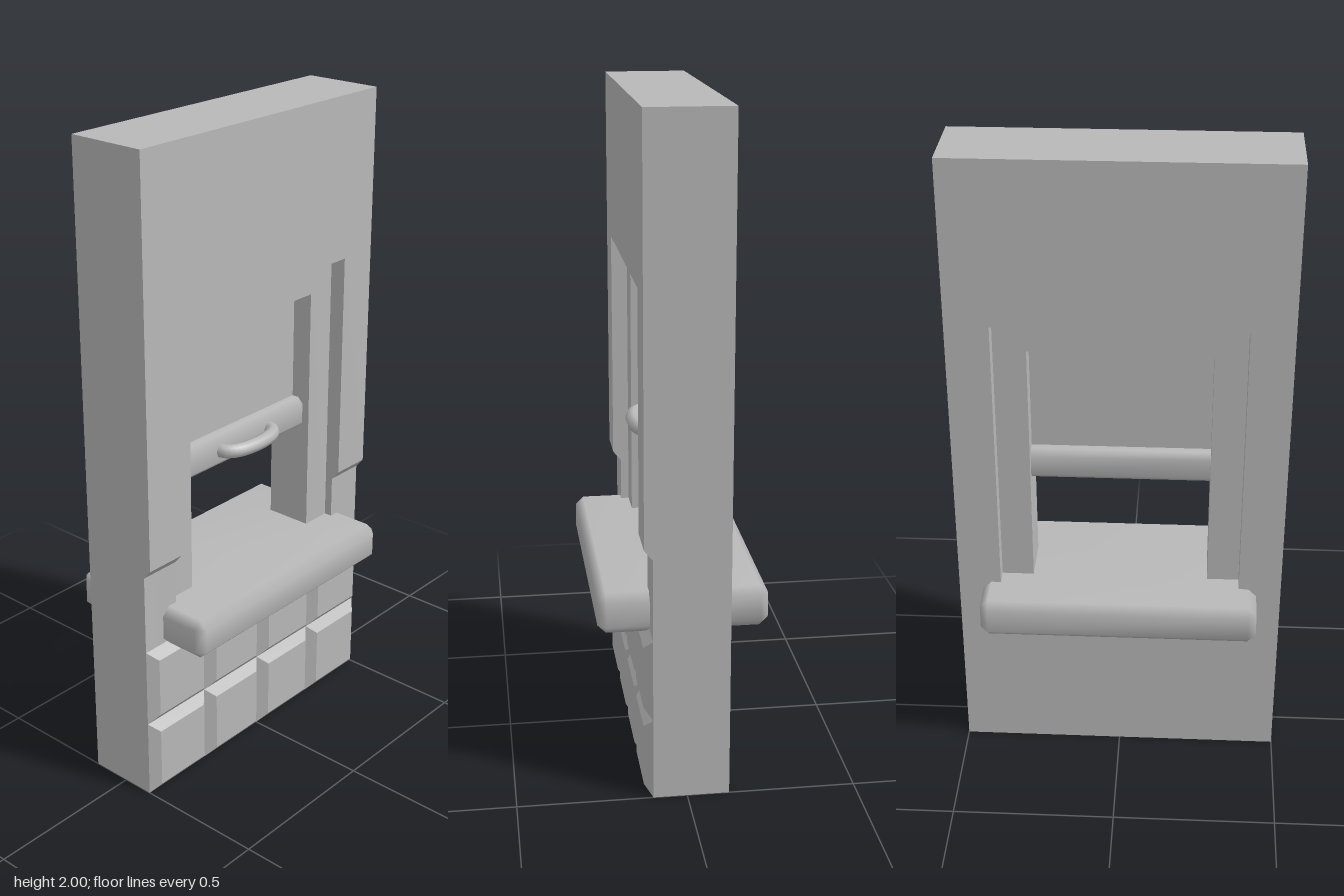
import * as THREE from 'three';
import { mergeVertices } from 'three/addons/utils/BufferGeometryUtils.js';
import { ConvexGeometry } from 'three/addons/geometries/ConvexGeometry.js';

const plaster = new THREE.MeshStandardMaterial({ color: 0xb8b8b8 });
plaster.name = 'plain grey';

function add(parent, name, geometry, x = 0, y = 0, z = 0) {
  const mesh = new THREE.Mesh(geometry, plaster);
  mesh.name = name;
  mesh.position.set(x, y, z);
  parent.add(mesh);
  return mesh;
}

function polygon(points) {
  return new THREE.Shape(points.map(([x, y]) => new THREE.Vector2(x, y)));
}

function rectangle(x, y0, y1) {
  return polygon([[-x, y0], [x, y0], [x, y1], [-x, y1]]);
}

// Upside-down U: outer half width and top, inner half width and top
function arch(outerX, outerTop, innerX, innerTop, bottom) {
  return polygon([
    [-outerX, bottom], [-innerX, bottom], [-innerX, innerTop], [innerX, innerTop],
    [innerX, bottom], [outerX, bottom], [outerX, outerTop], [-outerX, outerTop],
  ]);
}

function slab(shape, z0, z1) {
  return new THREE.ExtrudeGeometry(shape, { depth: z1 - z0, bevelEnabled: false }).translate(0, 0, z0);
}

// Box with chamfered edges and corners, shaded smoothly across the chamfers
function softBox(w, h, d, bevel) {
  const points = [];
  for (const sx of [-1, 1]) for (const sy of [-1, 1]) for (const sz of [-1, 1]) {
    for (let axis = 0; axis < 3; axis++) {
      const half = [w / 2, h / 2, d / 2].map((v, i) => (i === axis ? v : v - bevel));
      points.push(new THREE.Vector3(sx * half[0], sy * half[1], sz * half[2]));
    }
  }
  const geometry = new ConvexGeometry(points);
  geometry.deleteAttribute('normal');
  const smooth = mergeVertices(geometry, 1e-4);
  smooth.computeVertexNormals();
  return smooth;
}

// Square stone with sloping edges on its front
function stoneGeometry(size, depth, slope) {
  const points = [];
  for (const sx of [-1, 1]) for (const sy of [-1, 1]) {
    const a = size / 2, b = size / 2 - slope;
    points.push(new THREE.Vector3(sx * a, sy * a, 0), new THREE.Vector3(sx * b, sy * b, depth));
  }
  return new ConvexGeometry(points);
}

export function createModel() {
  const model = new THREE.Group();
  model.name = 'wallWithWindow';

  // Wall with a through opening
  const wallShape = rectangle(0.5, 0, 2);
  wallShape.holes.push(rectangle(0.37, 0.55, 1.5));
  add(model, 'wall', slab(wallShape, -0.125, 0.1));

  // Thicker plaster on the upper front, its lower edge sloping back to the wall
  const layer = slab(arch(0.5, 2, 0.37, 1.5, 0.78), 0.1, 0.125);
  const pos = layer.attributes.position;
  for (let i = 0; i < pos.count; i++) {
    if (pos.getY(i) < 0.79 && pos.getZ(i) < 0.11) pos.setY(i, 0.75);
  }
  layer.computeVertexNormals();
  add(model, 'upperPlaster', layer);

  // Two rows of stones at the foot of the wall
  const stones = new THREE.Group();
  stones.name = 'stones';
  model.add(stones);
  const stone = stoneGeometry(0.25, 0.025, 0.03);
  for (let row = 0; row < 2; row++) {
    for (let col = 0; col < 4; col++) {
      add(stones, 'stone', stone, -0.375 + col * 0.25, 0.125 + row * 0.25, 0.1);
    }
  }

  // Sill running through the wall
  add(model, 'sill', softBox(0.85, 0.125, 0.5, 0.025), 0, 0.553, 0);

  // Window frame
  add(model, 'windowFrame', slab(arch(0.37, 1.5, 0.272, 1.4, 0.58), -0.075, 0.075));

  // Raised sash: pane, bottom rail and handle
  const sash = new THREE.Group();
  sash.name = 'sash';
  model.add(sash);
  add(sash, 'pane', new THREE.BoxGeometry(0.56, 0.42, 0.02), 0, 1.2, 0);
  add(sash, 'bottomRail', softBox(0.6, 0.1, 0.1, 0.018), 0, 1, 0);
  const bow = new THREE.CatmullRomCurve3([
    [-0.108, 0.03], [-0.108, 0.06], [-0.08, 0.085], [0, 0.098],
    [0.08, 0.085], [0.108, 0.06], [0.108, 0.03],
  ].map(([x, z]) => new THREE.Vector3(x, 1.003, z)));
  add(sash, 'handle', new THREE.TubeGeometry(bow, 24, 0.022, 8));

  return model;
}
